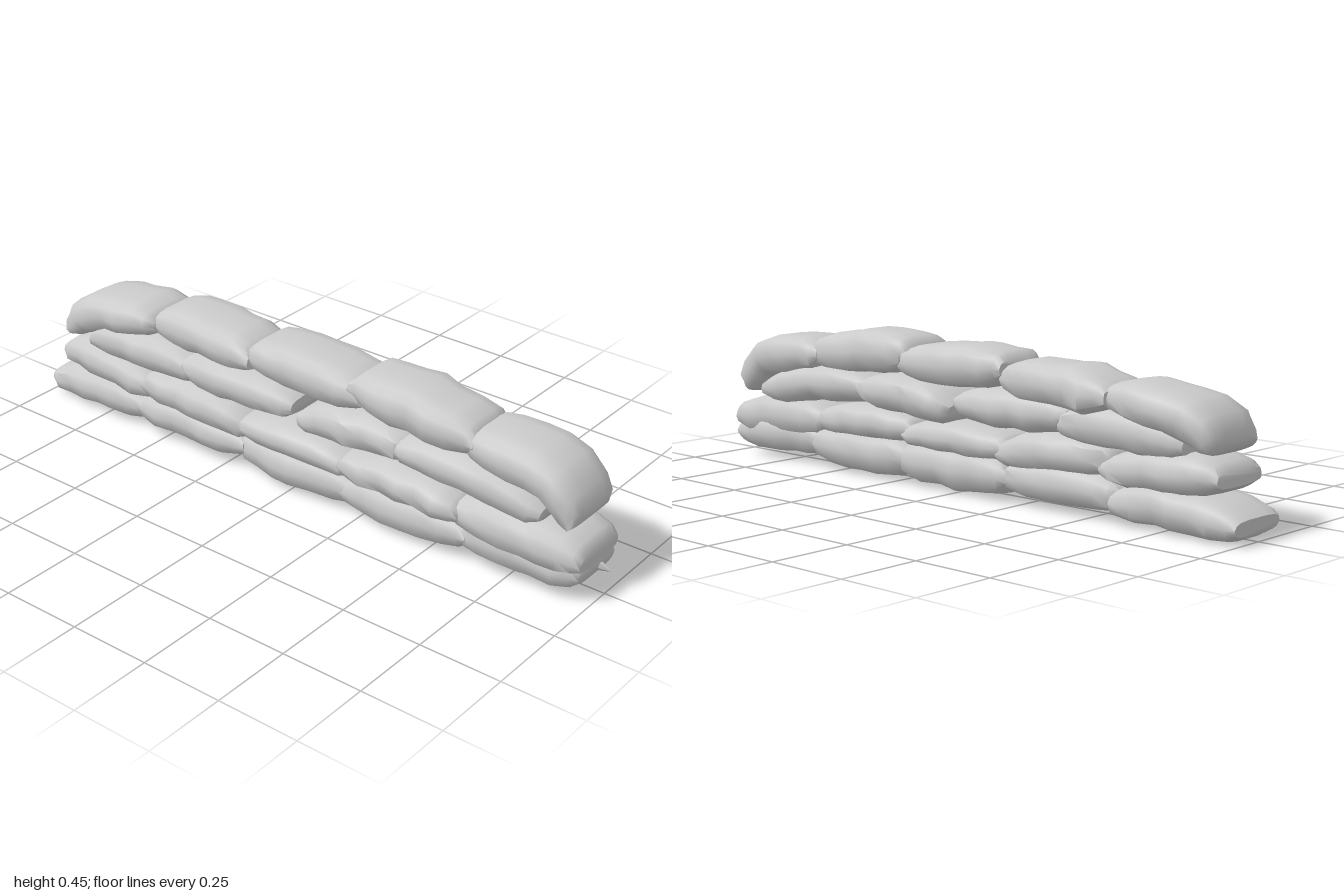
import * as THREE from 'three';
import { toCreasedNormals } from 'three/addons/utils/BufferGeometryUtils.js';

const material = new THREE.MeshStandardMaterial({ color: 0xcccccc, side: THREE.DoubleSide });
const SIDES = 14;

function seeded(seed) {
  let s = seed * 7919 + 17;
  return () => (s = (s * 16807) % 2147483647) / 2147483647;
}

// One filled sack: rounded-rectangle sections swept along a curve of [x, y, z] points.
function sack(name, points, halfHeight, halfWidth, seed) {
  const rand = seeded(seed);
  for (let i = 0; i < 5; i++) rand();
  const curve = new THREE.CatmullRomCurve3(points.map((p) => new THREE.Vector3(...p)));
  // [position along sack, height scale, width scale]: flat seam ends, full belly
  const sections = [
    [0, 0.4, 0.84], [0.07, 0.72, 0.93], [0.2, 0.93, 0.98], [0.36, 1, 1], [0.5, 0.98, 1.02],
    [0.64, 1, 1], [0.8, 0.93, 0.98], [0.93, 0.72, 0.93], [1, 0.4, 0.84],
  ];
  const pos = [], index = [];
  sections.forEach(([t, sh, sw], r) => {
    const c = curve.getPoint(t), d = curve.getTangent(t);
    const up = new THREE.Vector3(-d.y, d.x, 0).normalize();
    const lift = (rand() - 0.5) * 0.008, shift = (rand() - 0.5) * 0.012;
    const swell = 1 + (rand() - 0.5) * 0.1;
    for (let i = 0; i < SIDES; i++) {
      const a = (i / SIDES) * Math.PI * 2;
      const round = (v) => Math.sign(v) * Math.pow(Math.abs(v), 0.6);
      const h = round(Math.sin(a)) * halfHeight * sh * swell + lift;
      const w = round(Math.cos(a)) * halfWidth * sw * (1 + (rand() - 0.5) * 0.06) + shift;
      pos.push(c.x + up.x * h, Math.max(0.003, c.y + up.y * h), c.z + w);
    }
    if (r === 0) return;
    for (let i = 0; i < SIDES; i++) {
      const j = (i + 1) % SIDES, a = (r - 1) * SIDES, b = r * SIDES;
      index.push(a + i, a + j, b + i, a + j, b + j, b + i);
    }
  });
  // Sewn end caps
  const last = (sections.length - 1) * SIDES;
  for (let i = 1; i < SIDES - 1; i++) {
    index.push(0, i + 1, i, last, last + i, last + i + 1);
  }
  // Wind every face outwards
  for (let i = 0; i < index.length; i += 3) [index[i + 1], index[i + 2]] = [index[i + 2], index[i + 1]];
  const geo = new THREE.BufferGeometry();
  geo.setAttribute('position', new THREE.Float32BufferAttribute(pos, 3));
  geo.setIndex(index);
  // Make the winding agree with the outside whatever the sweep direction
  let volume = 0;
  const v = [new THREE.Vector3(), new THREE.Vector3(), new THREE.Vector3()];
  for (let i = 0; i < index.length; i += 3) {
    v.forEach((p, k) => p.fromArray(pos, index[i + k] * 3));
    volume += v[0].dot(v[1].clone().cross(v[2]));
  }
  if (volume < 0) geo.setIndex(index.slice().reverse());
  const mesh = new THREE.Mesh(toCreasedNormals(geo, 1.0), material);
  mesh.name = name;
  return mesh;
}

export function createModel() {
  const wall = new THREE.Group();
  wall.name = 'sandbagWall';

  // Each course lists its sacks: [curve points, half height, half width]
  const courses = {
    bottomCourse: [
      [[[-1, 0.045, -0.005], [-0.79, 0.068, 0], [-0.57, 0.06, 0]], 0.058, 0.118],
      [[[-0.61, 0.075, 0.01], [-0.4, 0.08, 0.01], [-0.18, 0.08, 0.01]], 0.06, 0.122],
      [[[-0.21, 0.075, 0], [0.0, 0.072, 0.01], [0.24, 0.07, 0.01]], 0.068, 0.122],
      [[[0.18, 0.075, 0.01], [0.4, 0.072, 0.015], [0.62, 0.075, 0.01]], 0.066, 0.122],
      [[[0.58, 0.08, 0.01], [0.78, 0.085, 0.01], [0.965, 0.075, 0]], 0.06, 0.112],
    ],
    secondCourse: [
      [[[-0.94, 0.165, 0], [-0.76, 0.16, 0], [-0.54, 0.145, 0.01]], 0.058, 0.118],
      [[[-0.58, 0.17, 0.02], [-0.38, 0.165, 0.015], [-0.16, 0.14, 0.01]], 0.058, 0.125],
      [[[-0.2, 0.15, 0.01], [0, 0.16, 0.01], [0.22, 0.15, 0.015]], 0.05, 0.125],
      [[[0.18, 0.16, 0.02], [0.4, 0.165, 0.02], [0.6, 0.145, 0.02]], 0.055, 0.125],
      [[[0.56, 0.15, 0.02], [0.8, 0.14, 0.01], [0.975, 0.125, 0]], 0.066, 0.118],
    ],
    thirdCourse: [
      [[[-0.82, 0.24, 0], [-0.62, 0.26, 0], [-0.38, 0.25, 0]], 0.06, 0.115],
      [[[-0.42, 0.27, 0.01], [-0.22, 0.27, 0.005], [0.0, 0.265, 0]], 0.06, 0.122],
      [[[0.02, 0.235, 0], [0.2, 0.265, 0], [0.4, 0.27, 0]], 0.058, 0.122],
      [[[0.36, 0.265, 0.01], [0.6, 0.265, 0], [0.84, 0.225, 0]], 0.058, 0.12],
    ],
    // Outer sacks of the top course slump down over the ends
    topCourse: [
      [[[-0.915, 0.24, -0.005], [-0.83, 0.31, -0.01], [-0.7, 0.335, -0.015], [-0.56, 0.345, -0.02]], 0.06, 0.118],
      [[[-0.59, 0.345, -0.045], [-0.38, 0.355, -0.02], [-0.17, 0.355, 0.01]], 0.062, 0.11],
      [[[-0.18, 0.38, 0], [0.02, 0.372, 0], [0.24, 0.365, 0]], 0.062, 0.107],
      [[[0.19, 0.39, 0], [0.4, 0.38, 0], [0.62, 0.36, 0.005]], 0.065, 0.108],
      [[[0.58, 0.355, -0.005], [0.72, 0.345, -0.005], [0.86, 0.315, -0.005], [0.935, 0.225, 0]], 0.063, 0.112],
    ],
  };

  let seed = 1;
  for (const [name, sacks] of Object.entries(courses)) {
    const course = new THREE.Group();
    course.name = name;
    sacks.forEach(([points, h, w], i) => course.add(sack(`sandbag${i + 1}`, points, h, w, seed++)));
    wall.add(course);
  }

  // Pinched sack corner poking out at the lower left end
  const corner = new THREE.Mesh(new THREE.ConeGeometry(0.03, 0.08, 5), material);
  corner.name = 'sackCorner';
  corner.rotation.z = -Math.PI / 2 - 0.15;
  corner.position.set(0.96, 0.062, -0.03);
  wall.add(corner);
  return wall;
}
